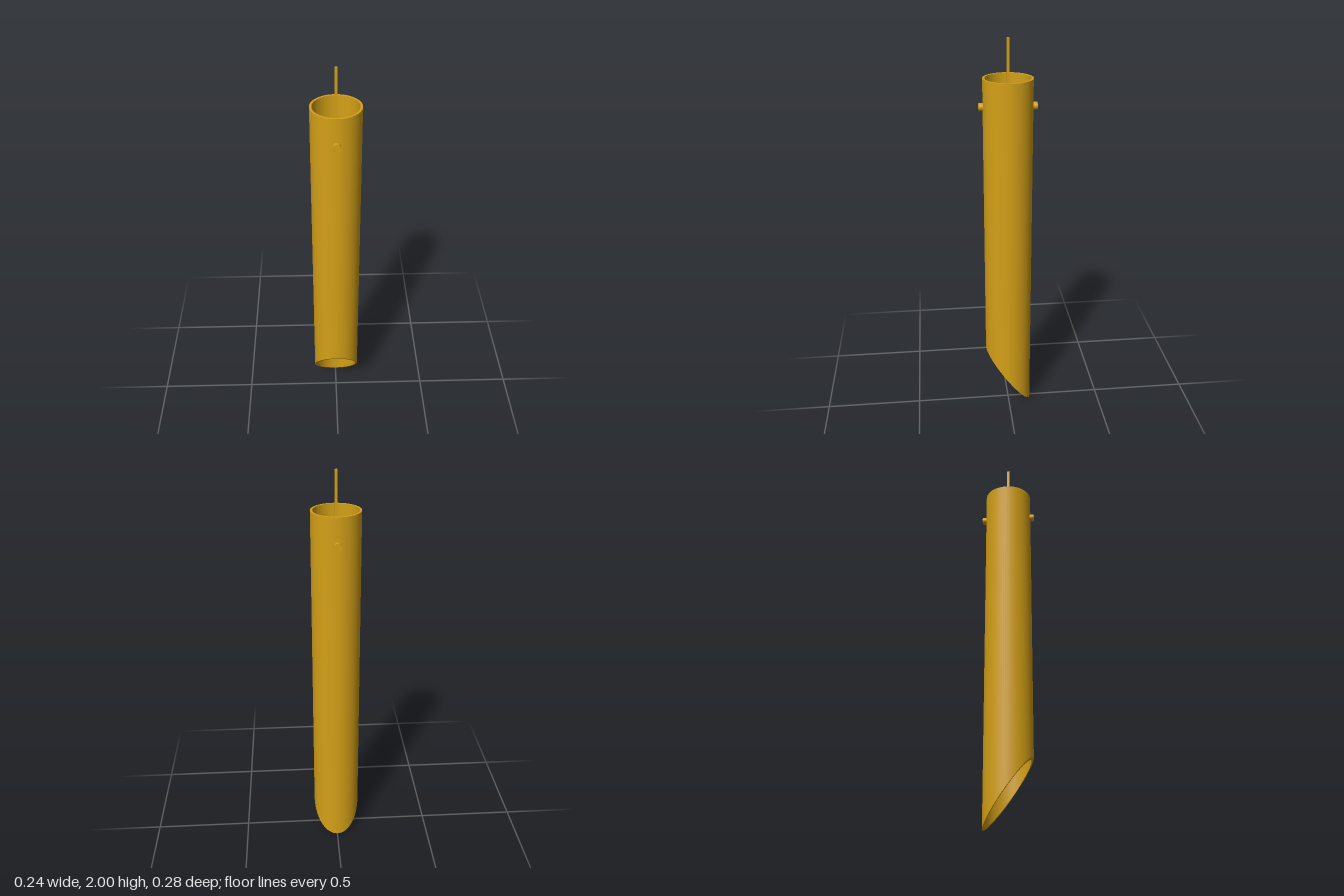
import * as THREE from 'three';
import { toCreasedNormals } from 'three/addons/utils/BufferGeometryUtils.js';

const OUTER = 0.121, INNER = 0.11, TOP = 1.813, CUT = 0.333, PIN_Y = 1.677;

// Hollow tube whose lower rim is slanted: high at the front, low at the back
function slantedTube() {
  const profile = [[INNER, 0], [OUTER, 0], [OUTER, TOP], [INNER, TOP], [INNER, 0]]
    .map(([r, y]) => new THREE.Vector2(r, y));
  const geometry = new THREE.LatheGeometry(profile, 64);
  const p = geometry.attributes.position;
  for (let i = 0; i < p.count; i++) {
    if (p.getY(i) < 0.01) p.setY(i, CUT * (0.5 + p.getZ(i) / (2 * OUTER)));
  }
  return toCreasedNormals(geometry, 0.4);
}

export function createModel() {
  const model = new THREE.Group();
  model.name = 'pendantLamp';
  const gold = new THREE.MeshStandardMaterial({ color: 0xd4a017 });

  const add = (name, geometry, y) => {
    const mesh = new THREE.Mesh(geometry, gold);
    mesh.name = name;
    mesh.position.y = y;
    model.add(mesh);
  };

  add('tubeShade', slantedTube(), 0);

  // Cross pin through the tube, front to back
  add('crossPin', new THREE.CylinderGeometry(0.019, 0.019, 0.281, 32).rotateX(Math.PI / 2), PIN_Y);

  // Thin square cord rising from the pin
  add('cord', new THREE.BoxGeometry(0.012, 2 - PIN_Y, 0.012), (2 + PIN_Y) / 2);

  return model;
}
